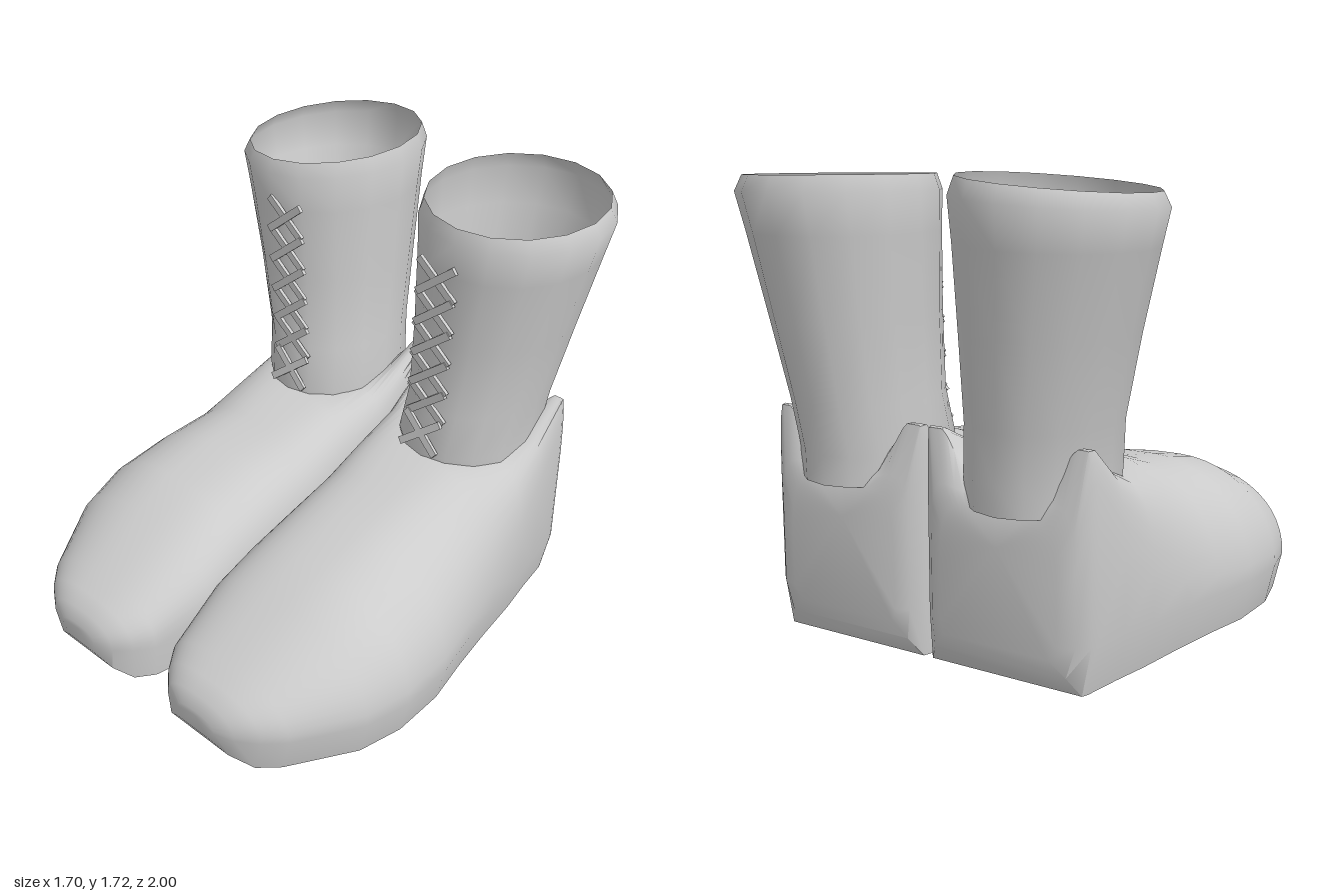
import * as THREE from 'three';
import { toCreasedNormals } from 'three/addons/utils/BufferGeometryUtils.js';

const grey = new THREE.MeshStandardMaterial({ color: 0xcccccc, side: THREE.DoubleSide });
grey.name = 'pale grey';

// Skin a list of equal-length closed rings; side = -1 mirrors across x
function loft(rings, side, caps, crease) {
  const n = rings[0].length, pos = [], idx = [];
  const tri = (a, b, c) => (side > 0 ? idx.push(a, b, c) : idx.push(a, c, b));
  rings.forEach(r => r.forEach(p => pos.push(p[0] * side, p[1], p[2])));
  for (let i = 0; i < rings.length - 1; i++) {
    for (let j = 0; j < n; j++) {
      const k = (j + 1) % n, a = i * n, b = a + n;
      tri(a + j, b + j, a + k);
      tri(a + k, b + j, b + k);
    }
  }
  if (caps) {
    [0, rings.length - 1].forEach((ri, end) => {
      const c = pos.length / 3, m = [0, 0, 0];
      rings[ri].forEach(p => p.forEach((v, q) => { m[q] += v / n; }));
      pos.push(m[0] * side, m[1], m[2]);
      for (let j = 0; j < n; j++) {
        const a = ri * n + j, b = ri * n + (j + 1) % n;
        if (end) tri(c, b, a); else tri(c, a, b);
      }
    });
  }
  const g = new THREE.BufferGeometry();
  g.setAttribute('position', new THREE.Float32BufferAttribute(pos, 3));
  g.setIndex(idx);
  return toCreasedNormals(g, crease);
}

// Foot sections: z, inner x, outer x, top, bottom y, outer roundness, corner lift
const FOOT = [
  [1.0, 0.24, 0.43, 0.19, 0.10, 0.8, 0],
  [0.975, 0.16, 0.51, 0.245, 0.05, 0.8, 0],
  [0.92, 0.10, 0.59, 0.285, 0, 0.8, 0],
  [0.85, 0.05, 0.66, 0.33, 0, 0.85, 0],
  [0.60, 0, 0.81, 0.48, 0, 0.95, 0],
  [0.42, 0, 0.85, 0.555, 0, 0.98, 0],
  [0.20, 0, 0.843, 0.605, 0, 1, 0],
  [0, 0, 0.80, 0.64, 0, 0.95, 0],
  [-0.2, 0, 0.765, 0.705, 0, 0.8, 0],
  [-0.4, 0, 0.735, 0.705, 0, 0.6, 0.08],
  [-0.55, 0, 0.705, 0.70, 0, 0.48, 0.22],
  [-0.70, 0, 0.68, 0.67, 0, 0.38, 0.46],
  [-0.725, 0.01, 0.67, 0.66, 0, 0.38, 0.46],
  [-0.765, 0.05, 0.63, 0.64, 0.07, 0.38, 0.1],
  [-0.785, 0.10, 0.57, 0.61, 0.13, 0.38, 0],
];

function footGeometry(side) {
  const N = 24;
  const rings = FOOT.map(([z, x0, x1, top, low, pOut, lift]) => {
    const cx = (x0 + x1) / 2, hx = (x1 - x0) / 2, ring = [];
    // widest height and inner roundness change steadily from toe to heel
    const mid = 0.165 - 0.02 * z, pIn = 0.32 + 0.28 * Math.max(z + 0.7, 0);
    for (let i = 0; i <= N; i++) {
      const t = Math.PI * i / N, c = Math.cos(t), p = c > 0 ? pOut : pIn;
      const u = Math.sign(c) * Math.pow(Math.abs(c), p);
      const s = Math.pow(Math.max(Math.sin(t), 0), p);
      const y = mid + (top + lift * Math.abs(u) ** 3 - mid) * s;
      ring.push([cx + hx * u, Math.min(y, 0.85), z]);
    }
    // flat sole, tucked in on the outer side
    ring.push([x0 + 0.01, low, z], [x1 - 0.035, low, z]);
    return ring;
  });
  return loft(rings, side, true, 0.75);
}

// Shaft sections: y, inner x, outer x, front z, back z
const SHAFT = [
  [0.61, 0.11, 0.62, -0.22, -0.84],
  [0.72, 0.10, 0.625, -0.2, -0.845],
  [0.90, 0.12, 0.645, -0.235, -0.87],
  [1.20, 0.115, 0.71, -0.24, -0.92],
  [1.50, 0.105, 0.78, -0.235, -0.97],
  [1.64, 0.098, 0.812, -0.228, -1.0],
  [1.697, 0.118, 0.785, -0.25, -0.975],
];

// Thin open tube whose top rim leans slightly
function shaftGeometry(side, shift, rimTilt) {
  const N = 16;
  const rings = SHAFT.map(([y, x0, x1, zf, zb]) => {
    const dx = shift * (y - 0.61), tilt = Math.max(0, (y - 1.4) / 0.3), ring = [];
    for (let i = 0; i < N; i++) {
      const t = 2 * Math.PI * i / N, c = Math.cos(t), s = Math.sin(t);
      ring.push([(x0 + x1) / 2 + dx + c * (x1 - x0) / 2,
        y - tilt * (rimTilt * c + 0.012 * s),
        (zf + zb) / 2 + s * (zf - zb) / 2]);
    }
    return ring;
  });
  return loft(rings, side, false, 0.9);
}

// Six crossed lace pairs up the front of the shaft
function laces(side) {
  const group = new THREE.Group();
  group.name = 'laces';
  const strap = new THREE.BoxGeometry(0.215, 0.03, 0.014);
  for (let i = 0; i < 6; i++) {
    const y = 0.805 + i * 0.132;
    const z = i === 0 ? -0.207 : -0.23;
    const x = 0.35 + i * (side > 0 ? 0.004 : 0.008);
    [-1, 1].forEach(d => {
      const m = new THREE.Mesh(strap, grey);
      m.name = 'laceStrap';
      m.position.set(side * x, y, z + d * 0.002);
      m.rotation.set(i === 0 ? -0.2 : 0, 0, d * 0.68);
      group.add(m);
    });
  }
  return group;
}

function boot(side, shift, rimTilt) {
  const g = new THREE.Group();
  g.name = side > 0 ? 'leftBoot' : 'rightBoot';
  const foot = new THREE.Mesh(footGeometry(side), grey);
  foot.name = 'foot';
  const shaft = new THREE.Mesh(shaftGeometry(side, shift, rimTilt), grey);
  shaft.name = 'shaft';
  g.add(foot, shaft, laces(side));
  return g;
}

export function createModel() {
  const model = new THREE.Group();
  model.name = 'bootPair';
  model.add(boot(1, -0.017, 0.009), boot(-1, 0.019, 0.024));
  return model;
}
